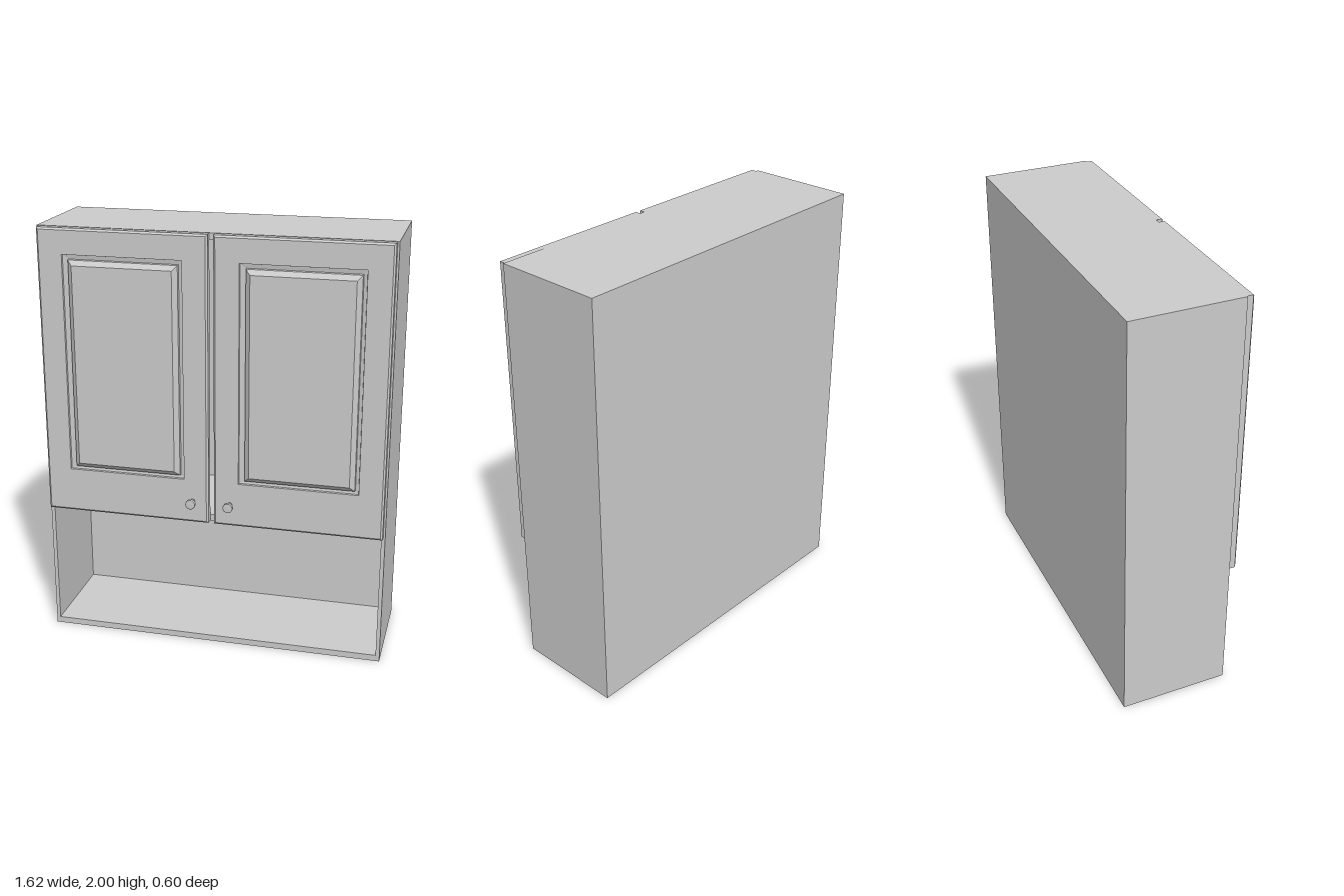
import * as THREE from 'three';

const material = new THREE.MeshStandardMaterial({ color: 0xcccccc, flatShading: true });
const smooth = new THREE.MeshStandardMaterial({ color: 0xcccccc });

// Box given by its limits on each axis
function board(name, x0, x1, y0, y1, z0, z1) {
  const mesh = new THREE.Mesh(new THREE.BoxGeometry(x1 - x0, y1 - y0, z1 - z0), material);
  mesh.position.set((x0 + x1) / 2, (y0 + y1) / 2, (z0 + z1) / 2);
  mesh.name = name;
  return mesh;
}

// Skin through rectangles [x0, x1, y0, y1, z], closed at both ends
function loftRects(rects) {
  const positions = [];
  const index = [];
  for (const [x0, x1, y0, y1, z] of rects) {
    positions.push(x0, y0, z, x1, y0, z, x1, y1, z, x0, y1, z);
  }
  for (let r = 0; r < rects.length - 1; r++) {
    for (let i = 0; i < 4; i++) {
      const a = r * 4 + i, b = r * 4 + (i + 1) % 4;
      index.push(a, b, b + 4, a, b + 4, a + 4);
    }
  }
  const last = (rects.length - 1) * 4;
  index.push(0, 2, 1, 0, 3, 2, last, last + 1, last + 2, last, last + 2, last + 3);
  const geometry = new THREE.BufferGeometry();
  geometry.setAttribute('position', new THREE.Float32BufferAttribute(positions, 3));
  geometry.setIndex(index);
  const flat = geometry.toNonIndexed();
  flat.computeVertexNormals();
  return flat;
}

// Door with eased edges, a sunken groove and a raised, bevelled panel
function makeDoor(name, centreX) {
  const inset = ([x0, x1, y0, y1], d, z) => [x0 + d, x1 - d, y0 + d, y1 - d, z];
  const outline = [-0.394, 0.394, 0.642, 1.998];
  const groove = [-0.277, 0.279, 0.854, 1.88];
  const panel = [-0.247, 0.26, 0.873, 1.857];
  const mesh = new THREE.Mesh(loftRects([
    inset(outline, 0, 0.213),
    inset(outline, 0, 0.244),
    inset(outline, 0.009, 0.252),
    inset(groove, 0, 0.252),
    inset(groove, 0.002, 0.243),
    inset(panel, -0.002, 0.24),
    inset(panel, 0, 0.253),
    inset(panel, 0.022, 0.272),
  ]), material);
  mesh.position.x = centreX;
  mesh.name = name;
  return mesh;
}

// Turned knob: slim stem, flared neck, flat head
function makeKnob(name, x) {
  const profile = [
    [0, 0], [0.012, 0], [0.009, 0.006], [0.009, 0.022], [0.02, 0.03],
    [0.023, 0.032], [0.023, 0.046], [0.021, 0.048], [0, 0.048],
  ].map(([r, h]) => new THREE.Vector2(r, h));
  const mesh = new THREE.Mesh(new THREE.LatheGeometry(profile, 24), smooth);
  mesh.rotation.x = Math.PI / 2;
  mesh.position.set(x, 0.748, 0.251);
  mesh.name = name;
  return mesh;
}

export function createModel() {
  const cabinet = new THREE.Group();
  cabinet.name = 'wallCabinet';

  // Carcass: open niche below, cupboard above
  const W = 0.81, wall = 0.018, back = -0.3, front = 0.214;
  const inner = W - wall;
  cabinet.add(
    board('rightSide', -W, -inner, 0, 2, back, front),
    board('leftSide', inner, W, 0, 2, back, front),
    board('topBoard', -inner, inner, 1.97, 2, back, front),
    board('bottomBoard', -inner, inner, 0, 0.03, back, front),
    board('shelf', -inner, inner, 0.642, 0.672, -0.27, front - 0.001),
    board('backBoard', -inner, inner, 0.03, 1.97, back, -0.27),
  );

  // Doors and knobs
  cabinet.add(
    makeDoor('rightDoor', -0.407),
    makeDoor('leftDoor', 0.407),
    makeKnob('rightKnob', -0.088),
    makeKnob('leftKnob', 0.09),
  );
  return cabinet;
}
